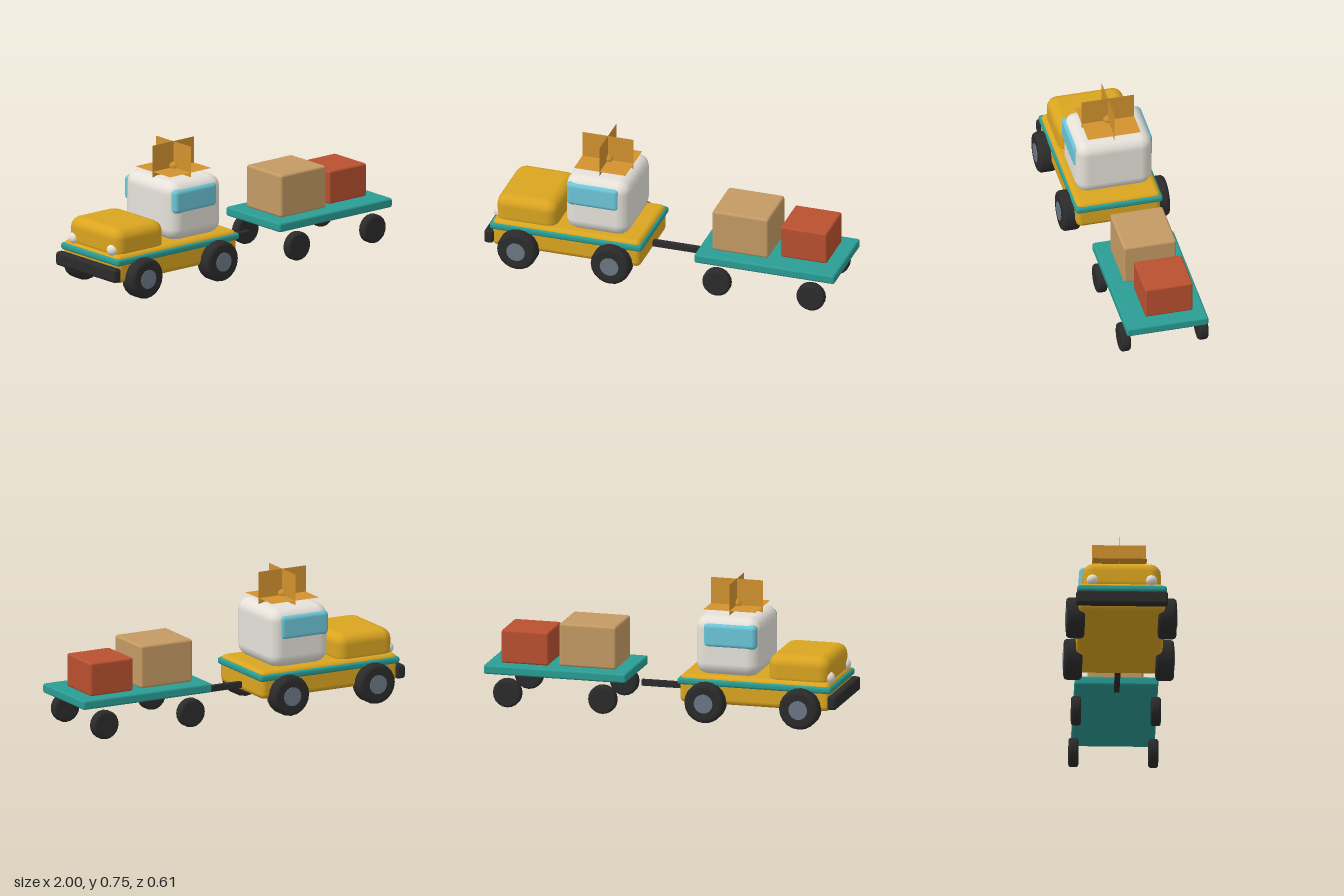
import * as THREE from 'three';
import { RoundedBoxGeometry } from 'three/addons/geometries/RoundedBoxGeometry.js';

export function createModel() {
  const model = new THREE.Group();
  model.name = 'truckWithTrailer';

  const paint = (name, color, side = THREE.FrontSide) => {
    const m = new THREE.MeshStandardMaterial({ color, side });
    m.name = name;
    return m;
  };
  const yellow = paint('yellow', 0xdaa520);
  const teal = paint('teal', 0x2a9d94);
  const white = paint('offWhite', 0xe6e2da);
  const glass = paint('glassBlue', 0x6cc6d8);
  const black = paint('rubberBlack', 0x2b2b2b);
  const grey = paint('hubGrey', 0x6b7785);
  const tan = paint('tan', 0xc49a64);
  const red = paint('brickRed', 0xb9502f);
  const orange = paint('orange', 0xd2922e, THREE.DoubleSide);

  const add = (name, geometry, material, x, y, z) => {
    const mesh = new THREE.Mesh(geometry, material);
    mesh.name = name;
    mesh.position.set(x, y, z);
    model.add(mesh);
    return mesh;
  };

  // Box given by its limits on each axis; radius 0 gives sharp edges
  const box = (name, material, [x0, x1], [y0, y1], [z0, z1], radius = 0) => {
    const size = [x1 - x0, y1 - y0, z1 - z0];
    const geometry = radius
      ? new RoundedBoxGeometry(...size, 2, radius)
      : new THREE.BoxGeometry(...size);
    return add(name, geometry, material, (x0 + x1) / 2, (y0 + y1) / 2, (z0 + z1) / 2);
  };

  // Tyre with rounded shoulders, axis along z
  const tyre = (name, radius, width, bevel, x, y, z) => {
    const h = width / 2;
    const profile = [[0, -h], [radius - bevel - 0.004, -h]];
    for (const side of [-1, 1]) {
      for (let i = 0; i <= 3; i++) {
        const a = (side < 0 ? i : 3 - i) * Math.PI / 6;
        profile.push([radius - bevel + bevel * Math.sin(a), side * (h - bevel + bevel * Math.cos(a))]);
      }
    }
    profile.push([radius - bevel - 0.004, h], [0, h]);
    const geometry = new THREE.LatheGeometry(profile.map(([r, t]) => new THREE.Vector2(r, t)), 20);
    geometry.rotateX(Math.PI / 2);
    return add(name, geometry, black, x, y, z);
  };

  // Truck body
  box('chassis', yellow, [-0.96, -0.11], [0.097, 0.256], [-0.236, 0.236], 0.03);
  box('bodyTrim', teal, [-0.97, -0.1], [0.199, 0.238], [-0.244, 0.244], 0.015);
  box('hood', yellow, [-0.95, -0.6], [0.21, 0.392], [-0.213, 0.213], 0.06);
  box('cabin', white, [-0.555, -0.187], [0.25, 0.58], [-0.215, 0.215], 0.07);
  box('sideWindows', glass, [-0.54, -0.24], [0.41, 0.546], [-0.222, 0.222], 0.025);
  box('bumper', black, [-1, -0.948], [0.113, 0.19], [-0.25, 0.25], 0.015);
  for (const s of [-1, 1]) {
    add('headlight', new THREE.SphereGeometry(0.033, 14, 10), white, -0.937, 0.275, s * 0.16);
  }

  // Roof ornament: three crossed square panels around a small bead
  const roofY = 0.605;
  for (const [rx, ry] of [[0, 0], [0, Math.PI / 2], [-Math.PI / 2, 0]]) {
    const panel = add('roofPanel', new THREE.PlaneGeometry(0.294, 0.294), orange, -0.37, roofY, 0);
    panel.rotation.set(rx, ry, 0);
  }
  add('roofBead', new THREE.SphereGeometry(0.032, 8, 3), orange, -0.37, 0.609, 0);

  // Truck wheels and hubs
  for (const x of [-0.8, -0.265]) {
    for (const s of [-1, 1]) {
      tyre('truckTyre', 0.112, 0.1, 0.02, x, 0.114, s * 0.25);
      const hub = add('wheelHub', new THREE.CylinderGeometry(0.053, 0.053, 0.02, 16), grey, x, 0.114, s * 0.294);
      hub.rotation.x = Math.PI / 2;
    }
  }

  // Hitch and trailer
  box('hitchBar', black, [-0.13, 0.165], [0.12, 0.152], [-0.015, 0.015]);
  box('trailerDeck', teal, [0.195, 0.998], [0.179, 0.231], [-0.228, 0.228], 0.012);
  for (const x of [0.325, 0.863]) {
    for (const s of [-1, 1]) tyre('trailerTyre', 0.08, 0.054, 0.014, x, 0.082, s * 0.217);
  }

  // Cargo
  box('largeCrate', tan, [0.272, 0.594], [0.231, 0.471], [-0.148, 0.148], 0.014);
  box('smallCrate', red, [0.65, 0.916], [0.231, 0.417], [-0.161, 0.107], 0.012);

  return model;
}
